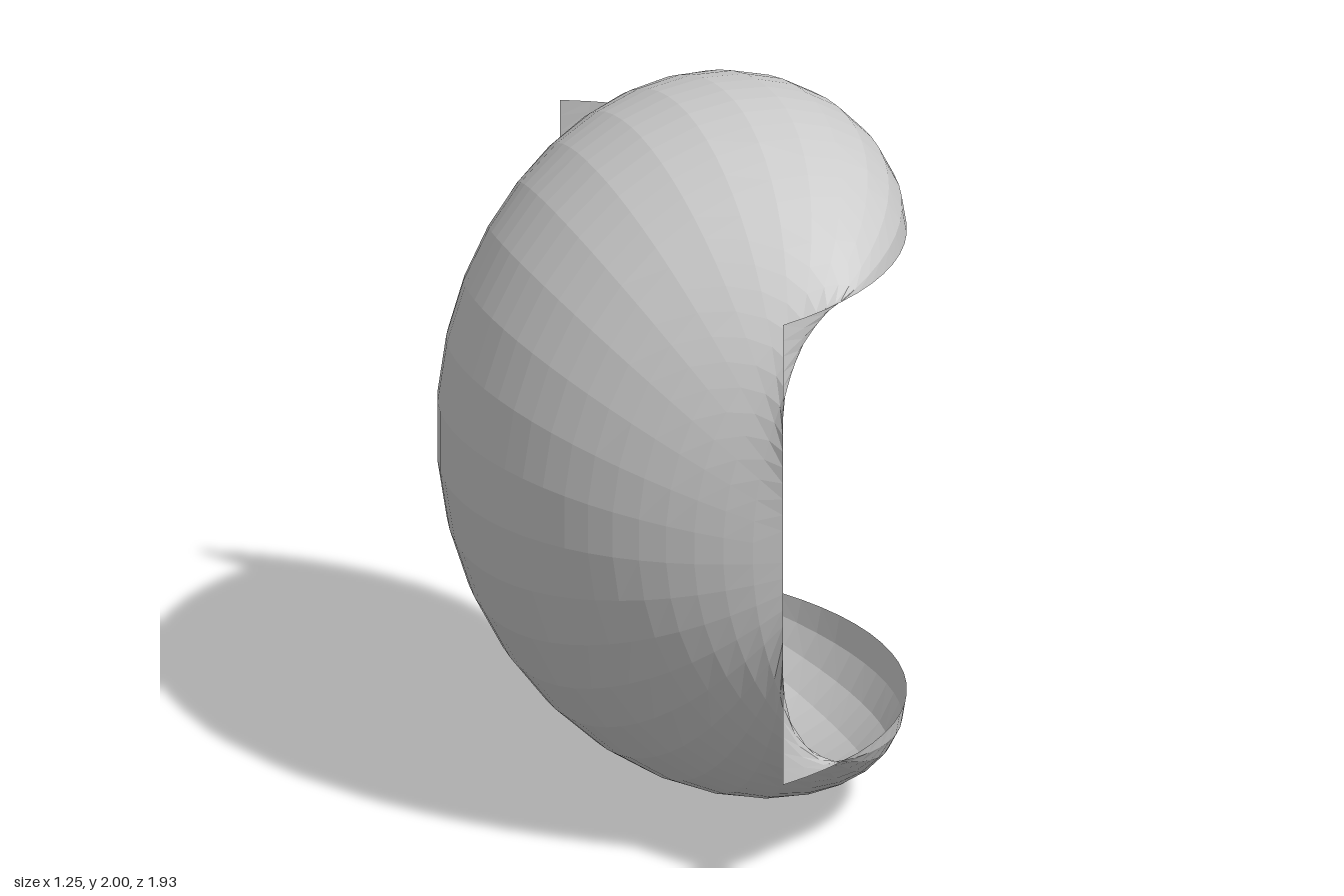
import * as THREE from 'three';

const RADIUS = 0.627;      // largest radius of the curl, at z = 0
const HALF_EDGE = 0.674;   // half height of the straight side edges
const HALF_DEPTH = 0.965;  // distance of the side edges from the middle
const SEGMENTS = 29;

// The lens outline is a circular arc from one side edge to the other.
const ARC_RADIUS = (HALF_DEPTH ** 2 + RADIUS ** 2) / (2 * RADIUS);
const ARC_HALF_ANGLE = Math.asin(HALF_DEPTH / ARC_RADIUS);

// a: -0.5..0.5 from back to front, t: 0..1 from upper to lower lip.
function curlPoint(a, t, target) {
  const phi = a * 2 * ARC_HALF_ANGLE;
  const r = ARC_RADIUS * (Math.cos(phi) - Math.cos(ARC_HALF_ANGLE));
  const theta = t * Math.PI * 2;
  return target.set(
    r * Math.cos(theta),
    1 + HALF_EDGE * (1 - 2 * t) + r * Math.sin(theta),
    ARC_RADIUS * Math.sin(phi)
  );
}

export function createModel() {
  const group = new THREE.Group();
  group.name = 'curledSurface';

  // One sheet: a circle swept downwards while it turns, pinched at both sides
  const geometry = new THREE.PlaneGeometry(1, 1, SEGMENTS, SEGMENTS);
  const pos = geometry.attributes.position;
  const p = new THREE.Vector3();
  for (let i = 0; i < pos.count; i++) {
    curlPoint(pos.getX(i), 0.5 - pos.getY(i), p);
    pos.setXYZ(i, p.x, p.y, p.z);
  }
  geometry.computeVertexNormals();

  const sheet = new THREE.Mesh(
    geometry,
    new THREE.MeshStandardMaterial({ color: 0xcccccc, flatShading: true, side: THREE.DoubleSide })
  );
  sheet.name = 'curledSheet';
  group.add(sheet);
  return group;
}
